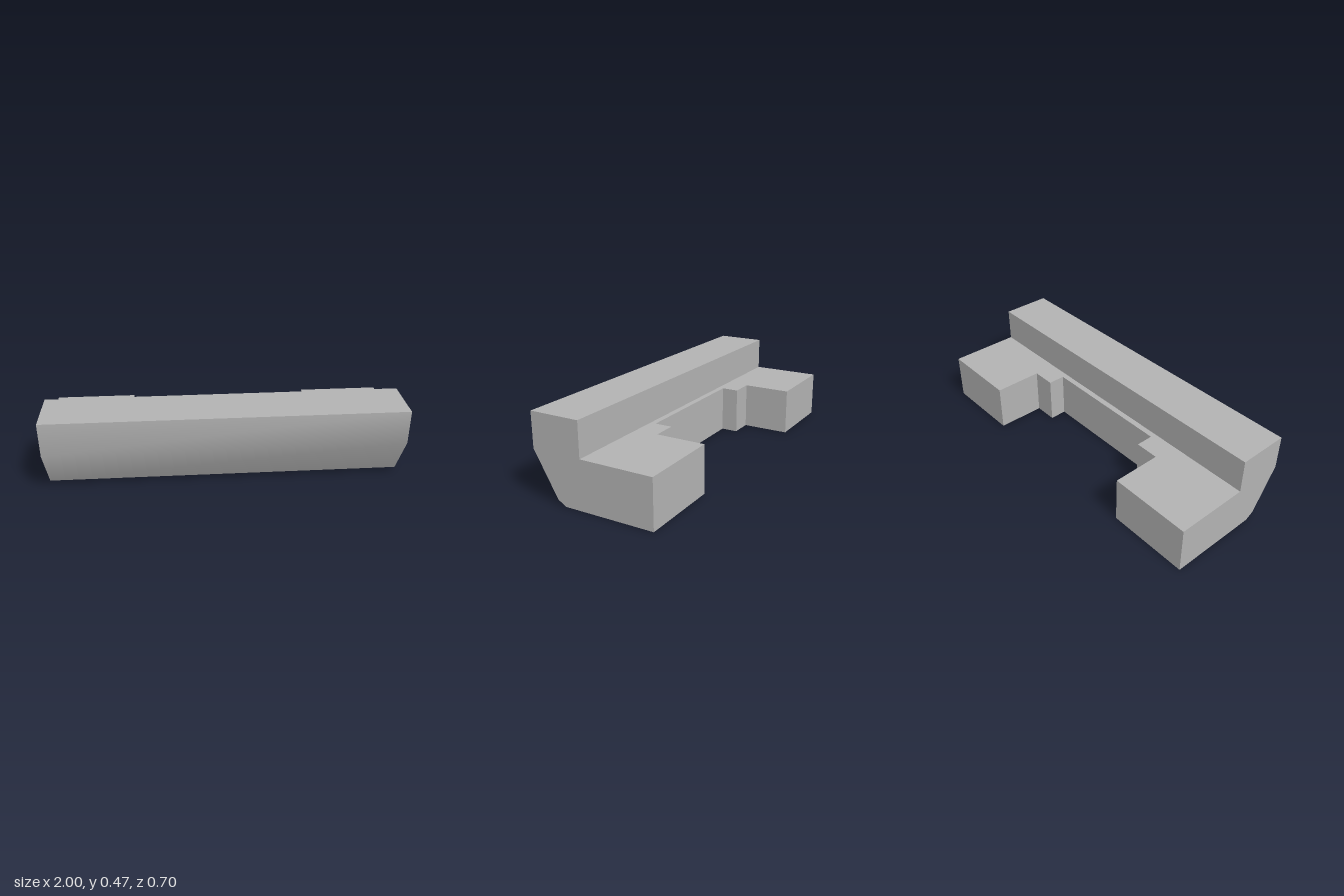
import * as THREE from 'three';

const TOP = 0.47, LEDGE = 0.274, FRONT = 0.352, BACK = -0.352, STEP = 0.063, BELLY = 0.163;

// Side profile as [z, y] and the stepped rear edge as [x, z], from left to right seen from behind
const profile = [[FRONT, TOP], [FRONT, LEDGE], [0.212, 0.028], [BELLY, 0], [BACK, 0], [BACK, LEDGE], [STEP, LEDGE], [STEP, TOP]];
const halfRear = [[1, BACK], [0.53, BACK], [0.53, -0.07], [0.392, -0.07], [0.392, 0.03]];
const rear = [...halfRear, ...halfRear.map(([x, z]) => [-x, z]).reverse()];

// Strip of quads from rows of [left, right] points seen from outside, top to bottom
function sheet(rows) {
  const index = [];
  for (let i = 0; i < rows.length - 1; i++) {
    const a = i * 2;
    index.push(a, a + 2, a + 1, a + 1, a + 2, a + 3);
  }
  const g = new THREE.BufferGeometry();
  g.setAttribute('position', new THREE.Float32BufferAttribute(rows.flat(2), 3));
  g.setIndex(index);
  g.computeVertexNormals();
  return g;
}

// Full-width strip through [z, y] points; side is the x of its left edge
const fullWidth = (points, side) => sheet(points.map(([z, y]) => [[side, y, z], [-side, y, z]]));

// Flat face from a 2D outline
const flat = (points) => new THREE.ShapeGeometry(new THREE.Shape(points.map(([u, v]) => new THREE.Vector2(u, v))));

export function createModel() {
  const model = new THREE.Group();
  const grey = new THREE.MeshStandardMaterial({ color: 0xb2b2b2 });
  grey.name = 'plain grey';
  const add = (name, geometry) => {
    const mesh = new THREE.Mesh(geometry, grey);
    mesh.name = name;
    model.add(mesh);
  };

  // Raised front rail, with a softly bent face and a small lower bevel
  add('frontFace', fullWidth(profile.slice(0, 3), -1));
  add('lowerBevel', fullWidth(profile.slice(2, 4), -1));
  add('railTop', fullWidth([[STEP, TOP], [FRONT, TOP]], -1));
  add('railBack', fullWidth([[STEP, TOP], [STEP, LEDGE]], 1));

  // Ledge and underside share the notched rear edge
  add('ledge', flat([...rear, [-1, STEP], [1, STEP]].map(([x, z]) => [x, -z]))
    .rotateX(-Math.PI / 2).translate(0, LEDGE, 0));
  add('underside', flat([...rear, [-1, BELLY], [1, BELLY]]).rotateX(Math.PI / 2));

  // Rear walls around the feet and the stepped notch
  for (let i = 0; i < rear.length - 1; i++) {
    const [x0, z0] = rear[i], [x1, z1] = rear[i + 1];
    add('rearWall' + (i + 1), sheet([LEDGE, 0].map((y) => [[x0, y, z0], [x1, y, z1]])));
  }

  // End faces
  add('rightEnd', flat(profile).rotateY(-Math.PI / 2).translate(-1, 0, 0));
  add('leftEnd', flat(profile.map(([z, y]) => [-z, y])).rotateY(Math.PI / 2).translate(1, 0, 0));

  return model;
}
